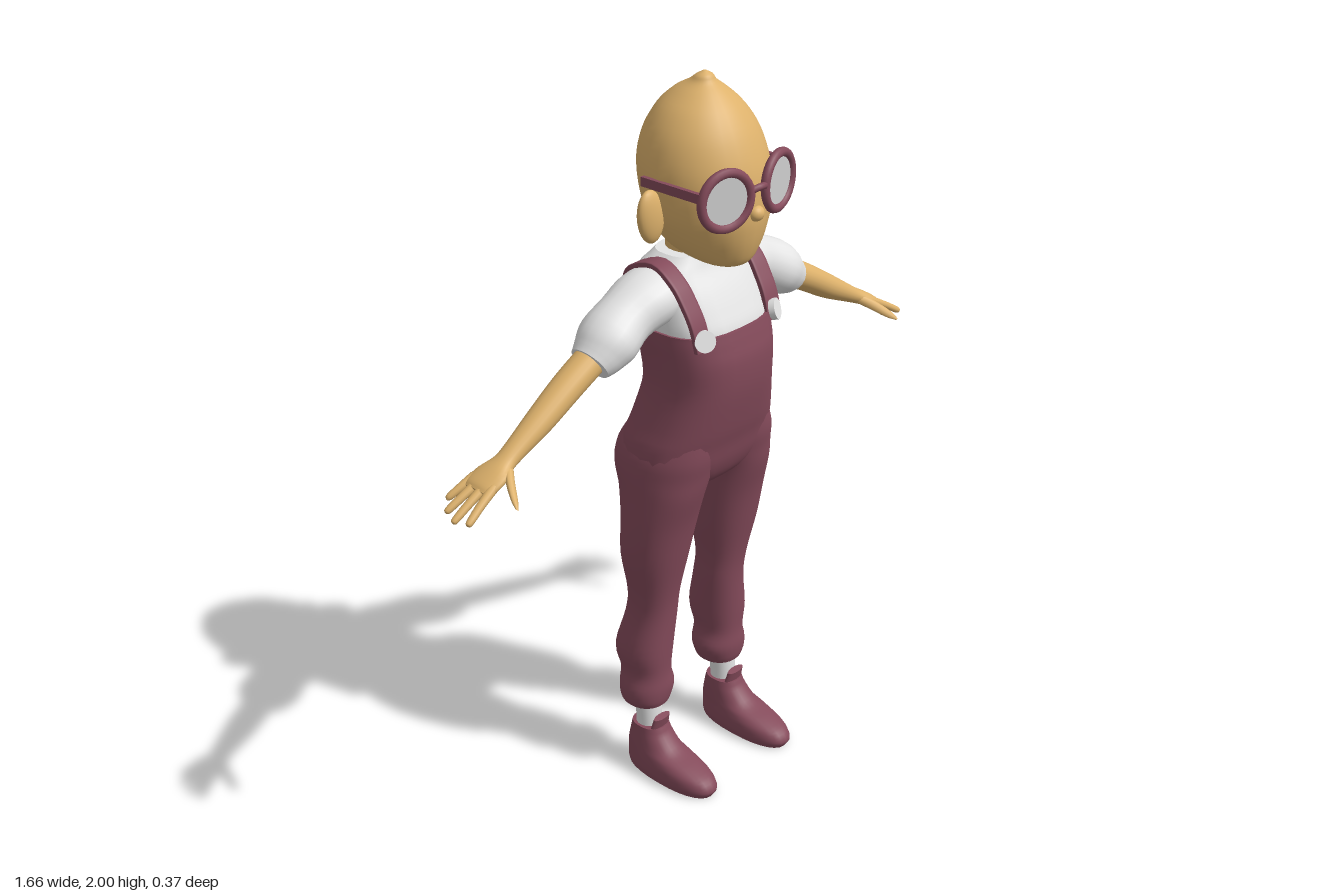
import * as THREE from 'three';

const mat = (name, color) => Object.assign(new THREE.MeshStandardMaterial({ color }), { name });
const V3 = (x, y, z) => new THREE.Vector3(x, y, z);

// Smooth capped skin through sections [x, y, z, ru, rv]; rings are superellipses.
// With v omitted, rings stay perpendicular to the path.
function loft(sections, { u = V3(1, 0, 0), v = null, power = 2, sides = 28, sub = 4 } = {}) {
  const path = new THREE.CatmullRomCurve3(sections.map(s => V3(s[0], s[1], s[2])), false, 'catmullrom');
  const size = new THREE.CatmullRomCurve3(sections.map(s => V3(s[3], s[4], 0)), false, 'catmullrom');
  const n = (sections.length - 1) * sub, pos = [], idx = [];
  const bend = a => Math.sign(a) * Math.abs(a) ** (2 / power);
  for (let i = 0; i <= n; i++) {
    const c = path.getPoint(i / n), r = size.getPoint(i / n);
    const w = v || path.getTangent(i / n).cross(u).normalize();
    for (let j = 0; j < sides; j++) {
      const a = j / sides * Math.PI * 2;
      const p = c.clone().addScaledVector(u, r.x * bend(Math.cos(a))).addScaledVector(w, r.y * bend(Math.sin(a)));
      pos.push(p.x, p.y, p.z);
      if (i < n) {
        const k = (j + 1) % sides, b = i * sides;
        idx.push(b + j, b + k, b + sides + k, b + j, b + sides + k, b + sides + j);
      }
    }
  }
  // Flat end caps with their own vertices
  for (const end of [0, n]) {
    const start = pos.length / 3, c = path.getPoint(end / n);
    pos.push(...pos.slice(end * sides * 3, (end + 1) * sides * 3), c.x, c.y, c.z);
    for (let j = 0; j < sides; j++) {
      const k = (j + 1) % sides;
      if (end) idx.push(start + sides, start + j, start + k);
      else idx.push(start + sides, start + k, start + j);
    }
  }
  const g = new THREE.BufferGeometry();
  g.setAttribute('position', new THREE.Float32BufferAttribute(pos, 3));
  g.setIndex(idx);
  g.computeVertexNormals();
  return g;
}

// Upright form from rows [y, centre x, half width, back z, front z], bottom to top
const column = (rows, s = 1, power = 2.2) => loft(
  rows.map(([y, x, w, b, f]) => [x * s, y, (b + f) / 2, w, (f - b) / 2]),
  { v: V3(0, 0, -1), power });

// Limb along x from points [x, y, z, half depth, half height]
const limb = (pts, s, sides = 20) => loft(
  pts.map(([x, y, z, d, h]) => [x * s, y, z, d, h]), { u: V3(0, 0, 1), sides });

export function createModel() {
  const skin = mat('skin', 0xdeb26c), maroon = mat('maroon cloth', 0x854b5b);
  const white = mat('white cloth', 0xe4e4e4), glass = mat('lens', 0xcecece);
  const model = new THREE.Group();
  model.name = 'figure';
  const add = (name, geo, material, parent = model) => {
    const m = new THREE.Mesh(geo, material);
    m.name = name;
    parent.add(m);
    return m;
  };
  const ball = (name, x, y, z, rx, ry, rz, material) => {
    const m = add(name, new THREE.SphereGeometry(1, 24, 16), material);
    m.position.set(x, y, z);
    m.scale.set(rx, ry, rz);
    return m;
  };

  // Head with a small peak, neck and nose
  add('head', column([
    [1.525, 0, 0.025, 0.055, 0.105], [1.54, 0, 0.065, -0.02, 0.135], [1.57, 0, 0.1, -0.1, 0.152],
    [1.62, 0, 0.132, -0.138, 0.166], [1.68, 0, 0.155, -0.16, 0.172], [1.77, 0, 0.163, -0.172, 0.163],
    [1.85, 0, 0.145, -0.157, 0.135], [1.91, 0, 0.11, -0.125, 0.098], [1.95, 0, 0.068, -0.085, 0.06],
    [1.975, 0, 0.034, -0.042, 0.03], [1.99, 0, 0.022, -0.022, 0.02], [2, 0, 0.004, -0.004, 0.004],
  ], 1, 2), skin);
  add('neck', column([[1.48, 0, 0.08, -0.115, 0.02], [1.54, 0, 0.07, -0.105, 0.02], [1.6, 0, 0.075, -0.11, 0.03]]), skin);
  ball('nose', 0, 1.68, 0.168, 0.022, 0.02, 0.02, skin);

  // Shirt body and overalls body
  add('shirt', column([
    [1.3, 0, 0.155, -0.14, 0.13], [1.36, 0, 0.163, -0.158, 0.128], [1.41, 0, 0.165, -0.164, 0.106],
    [1.46, 0, 0.163, -0.16, 0.078], [1.505, 0, 0.15, -0.14, 0.048], [1.53, 0, 0.12, -0.122, 0.036],
    [1.545, 0, 0.1, -0.112, 0.03],
  ], 1, 2.8), white);
  add('overallsBody', column([
    [0.89, 0, 0.045, -0.08, 0.03], [0.93, 0, 0.15, -0.14, 0.075], [0.98, 0, 0.21, -0.165, 0.1],
    [1.04, 0, 0.212, -0.172, 0.115], [1.1, 0, 0.194, -0.155, 0.132], [1.2, 0, 0.168, -0.132, 0.152],
    [1.28, 0, 0.167, -0.142, 0.156], [1.33, 0, 0.17, -0.158, 0.147], [1.365, 0, 0.17, -0.166, 0.138],
  ], 1, 2.6), maroon);

  // Bridge of the glasses
  const bridge = new THREE.CatmullRomCurve3([V3(-0.03, 1.745, 0.172), V3(0, 1.752, 0.182), V3(0.03, 1.745, 0.172)]);
  add('glassesBridge', new THREE.TubeGeometry(bridge, 10, 0.009, 8), maroon);

  for (const s of [1, -1]) {
    const side = s > 0 ? 'left' : 'right';

    // Ear: round upper part and lower lobe
    ball(side + 'Ear', 0.18 * s, 1.675, -0.012, 0.042, 0.07, 0.021, skin).rotation.z = -0.12 * s;

    // Spectacle rim, lens and temple
    const eye = new THREE.Group();
    eye.name = side + 'Eyeglass';
    eye.position.set(0.095 * s, 1.735, 0.156);
    eye.rotation.y = 0.24 * s;
    model.add(eye);
    add('rim', new THREE.TorusGeometry(0.07, 0.012, 10, 36), maroon, eye);
    add('lens', new THREE.CylinderGeometry(0.07, 0.07, 0.006, 36).rotateX(Math.PI / 2), glass, eye);
    const temple = add(side + 'Temple', new THREE.BoxGeometry(0.012, 0.024, 0.19), maroon);
    temple.position.set(0.165 * s, 1.754, 0.045);
    temple.rotation.y = -0.03 * s;

    // Strap over the shoulder, with a round button on the bib
    add(side + 'Strap', loft([
      [0.132, 1.34, 0.115], [0.134, 1.4, 0.1], [0.136, 1.45, 0.074], [0.138, 1.5, 0.036],
      [0.136, 1.534, -0.03], [0.126, 1.5, -0.118], [0.105, 1.44, -0.16], [0.09, 1.38, -0.17], [0.086, 1.33, -0.163],
    ].map(([x, y, z]) => [x * s, y, z, 0.026, 0.008]), { power: 6, sides: 24 }), maroon);
    const button = add(side + 'Button', new THREE.CylinderGeometry(0.028, 0.028, 0.016, 24).rotateX(Math.PI / 2), white);
    button.position.set(0.132 * s, 1.368, 0.12);
    button.rotation.set(-0.3, 0.45 * s, 0);

    // Sleeve, arm and hand
    add(side + 'Sleeve', limb([
      [0.06, 1.45, -0.045, 0.08, 0.07], [0.16, 1.447, -0.045, 0.09, 0.074], [0.24, 1.42, -0.045, 0.077, 0.071],
      [0.305, 1.385, -0.04, 0.083, 0.073], [0.345, 1.358, -0.038, 0.07, 0.062], [0.372, 1.342, -0.038, 0.058, 0.05],
    ], s), white);
    add(side + 'Arm', limb([
      [0.33, 1.37, -0.04, 0.043, 0.04], [0.44, 1.31, -0.042, 0.042, 0.038], [0.54, 1.25, -0.042, 0.037, 0.034],
      [0.62, 1.205, -0.042, 0.03, 0.026], [0.66, 1.183, -0.042, 0.031, 0.022], [0.695, 1.165, -0.045, 0.048, 0.02],
      [0.73, 1.146, -0.05, 0.05, 0.017], [0.745, 1.138, -0.05, 0.044, 0.011],
    ], s), skin);
    // Fingers: [tip x, tip y, tip z, root z]
    const fingers = [[0.79, 1.112, -0.104, -0.086], [0.818, 1.098, -0.077, -0.062], [0.83, 1.09, -0.04, -0.038], [0.82, 1.094, 0, -0.014]];
    fingers.forEach(([x, y, z, root], i) => add(side + 'Finger' + (i + 1), limb([
      [0.715, 1.154, root, 0.013, 0.013], [(0.715 + x) / 2, (1.158 + y) / 2, (root + z) / 2, 0.011, 0.011],
      [x - 0.008, y + 0.005, z, 0.009, 0.009], [x, y, z, 0.003, 0.003],
    ], s, 10), skin));
    add(side + 'Thumb', limb([
      [0.655, 1.183, -0.035, 0.018, 0.014], [0.685, 1.16, 0.005, 0.015, 0.014],
      [0.71, 1.135, 0.045, 0.011, 0.011], [0.722, 1.122, 0.067, 0.004, 0.004],
    ], s, 10), skin);

    // Trouser leg with a gathered cuff
    add(side + 'TrouserLeg', column([
      [0.215, 0.15, 0.06, -0.15, -0.022], [0.235, 0.15, 0.07, -0.152, -0.016], [0.27, 0.147, 0.075, -0.156, -0.012],
      [0.32, 0.148, 0.063, -0.156, -0.014], [0.39, 0.148, 0.073, -0.17, -0.01], [0.5, 0.135, 0.067, -0.143, -0.004],
      [0.58, 0.135, 0.07, -0.132, 0.006], [0.7, 0.136, 0.092, -0.143, 0.032], [0.81, 0.131, 0.101, -0.142, 0.056],
      [0.9, 0.125, 0.103, -0.155, 0.082], [0.96, 0.114, 0.111, -0.178, 0.094], [1.02, 0.108, 0.106, -0.174, 0.105],
      [1.1, 0.1, 0.075, -0.13, 0.105],
    ], s), maroon);

    // Sock and shoe
    add(side + 'Sock', column([[0.1, 0.153, 0.036, -0.108, -0.035], [0.17, 0.153, 0.036, -0.108, -0.035], [0.25, 0.15, 0.04, -0.115, -0.038]], s, 2), white);
    add(side + 'Shoe', column([
      [0, 0.155, 0.057, -0.134, 0.165], [0.02, 0.155, 0.062, -0.137, 0.174], [0.045, 0.155, 0.061, -0.136, 0.155],
      [0.065, 0.155, 0.057, -0.135, 0.105], [0.085, 0.154, 0.053, -0.132, 0.04], [0.12, 0.153, 0.048, -0.124, 0.0],
      [0.145, 0.153, 0.044, -0.118, -0.014],
    ], s, 2.3), maroon);
    const tongue = add(side + 'ShoeTongue', new THREE.CylinderGeometry(0.03, 0.036, 0.06, 16), maroon);
    tongue.position.set(0.153 * s, 0.148, -0.03);
    tongue.rotation.x = 0.25;
    tongue.scale.z = 0.35;
  }
  return model;
}
